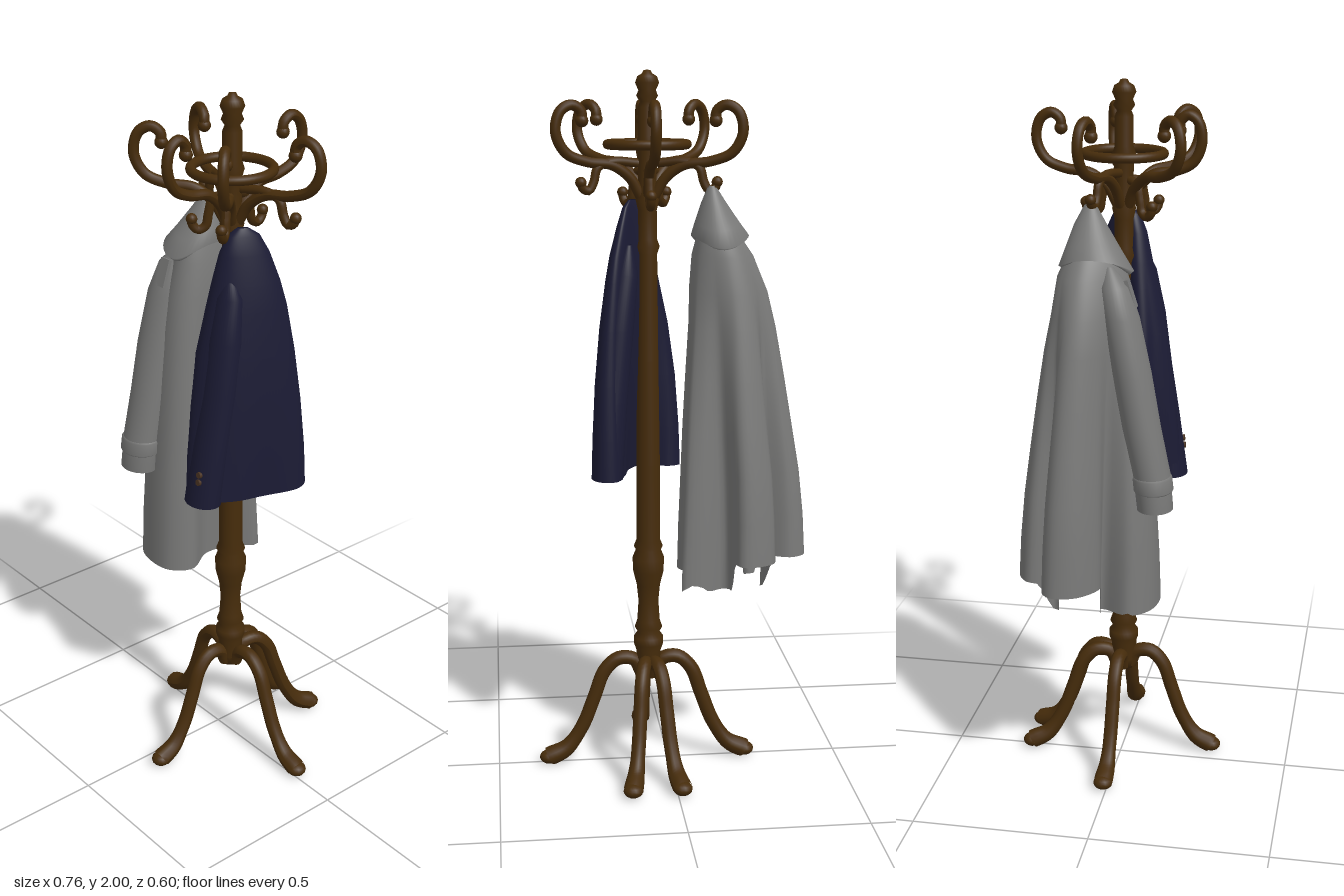
import * as THREE from 'three';

const mat = (name, color, open) => {
  const m = new THREE.MeshStandardMaterial({ color });
  m.name = name;
  if (open) m.side = THREE.DoubleSide;
  return m;
};
const V = (x, y, z) => new THREE.Vector3(x, y, z);
const POLE_X = 0.057;

function add(parent, name, geometry, material) {
  const mesh = new THREE.Mesh(geometry, material);
  mesh.name = name;
  parent.add(mesh);
  return mesh;
}

// Round rod along a curve, radius given by a rule, kept above the floor
function rod(points, radius, segments = 40, sides = 12) {
  const curve = new THREE.CatmullRomCurve3(points);
  const g = new THREE.TubeGeometry(curve, segments, 1, sides);
  const p = g.attributes.position;
  for (let i = 0; i < p.count; i++) {
    const t = Math.floor(i / (sides + 1)) / segments;
    const c = curve.getPointAt(t);
    const v = V(0, 0, 0).fromBufferAttribute(p, i).sub(c).multiplyScalar(radius(t)).add(c);
    p.setXYZ(i, v.x, Math.max(0, v.y), v.z);
  }
  g.computeVertexNormals();
  return g;
}

// Surface through closed rings, listed from top to bottom
function loft(rings) {
  const n = rings[0].length, pos = [], idx = [];
  rings.forEach((ring) => ring.forEach((p) => pos.push(p.x, p.y, p.z)));
  for (let k = 0; k < rings.length - 1; k++) {
    for (let j = 0; j < n; j++) {
      const a = k * n + j, b = k * n + (j + 1) % n;
      idx.push(a, a + n, b, b, a + n, b + n);
    }
  }
  const g = new THREE.BufferGeometry();
  g.setAttribute('position', new THREE.Float32BufferAttribute(pos, 3));
  g.setIndex(idx);
  g.computeVertexNormals();
  return g;
}

// Oval tube from rows of [x, y, z, rx, rz]; dip makes pointed drops round the rim
function sleeve(rows, dip = () => 0, n = 32) {
  return loft(rows.map(([x, y, z, rx, rz], k) => Array.from({ length: n }, (_, j) => {
    const a = j / n * Math.PI * 2;
    return V(x + rx * Math.cos(a), y + dip(a) * k / (rows.length - 1), z - rz * Math.sin(a));
  })));
}

// Hanging cloth: a smooth oval at the shoulders that turns into the folded hem below.
// Rows of [y, cx, cz, rx, rz, fold]
function drape(hem, rows, lift, n = 96) {
  const curve = new THREE.CatmullRomCurve3(hem.map(([x, z]) => V(x, 0, z)), true);
  const folded = curve.getSpacedPoints(n).slice(0, n);
  let oval = folded.map((p) => p.clone());
  for (let k = 0; k < 200; k++) {
    oval = oval.map((p, j) => p.clone().multiplyScalar(0.5)
      .addScaledVector(oval[(j + 1) % n], 0.25).addScaledVector(oval[(j + n - 1) % n], 0.25));
  }
  const box = new THREE.Box3().setFromPoints(oval);
  const c = box.getCenter(V(0, 0, 0)), s = box.getSize(V(0, 0, 0));
  return loft(rows.map(([y, cx, cz, rx, rz, f]) => oval.map((p, j) => {
    const q = V(cx + (p.x - c.x) / s.x * 2 * rx, y, cz + (p.z - c.z) / s.z * 2 * rz);
    q.lerp(V(folded[j].x, y, folded[j].z), f);
    q.y += f * f * lift(folded[j]);
    return q;
  })));
}

export function createModel() {
  const model = new THREE.Group();
  const wood = mat('dark wood', 0x462c0b);
  const grey = mat('grey cloth', 0x7a7a79, true);
  const navy = mat('navy cloth', 0x1b1b34, true);
  const button = mat('brown button', 0x4a3423);

  // Turned pole with finial
  const stand = new THREE.Group();
  stand.name = 'stand';
  stand.position.x = POLE_X;
  model.add(stand);
  const profile = [[0, .26], [.03, .26], [.036, .29], [.036, .34], [.043, .36], [.043, .38], [.032, .395], [.04, .41],
    [.033, .43], [.029, .49], [.034, .54], [.044, .58], [.046, .62], [.036, .645], [.042, .655], [.034, .675],
    [.034, .9], [.03, 1.2], [.027, 1.5], [.034, 1.52], [.027, 1.54], [.026, 1.62], [.033, 1.65], [.025, 1.68],
    [.027, 1.78], [.033, 1.8], [.026, 1.82], [.026, 1.9], [.02, 1.915], [.03, 1.93], [.024, 1.945], [.033, 1.965],
    [.027, 1.982], [.014, 1.99], [.01, 1.998], [0, 2]];
  add(stand, 'pole', new THREE.LatheGeometry(profile.map(([r, y]) => new THREE.Vector2(r, y)), 28), wood);

  // Ring that braces the arms
  const ring = add(stand, 'braceRing', new THREE.TorusGeometry(0.109, 0.0135, 12, 56), wood);
  ring.rotation.x = Math.PI / 2;
  ring.position.y = 1.8;

  // Turns [radius, height] points out along a direction in degrees (0 = +x, 90 = front)
  const radial = (pts, deg, s) => pts.map(([r, y]) => {
    const a = deg * Math.PI / 180;
    return V(Math.cos(a) * r * s, y, Math.sin(a) * r * s);
  });
  const ball = (name, p, r, flat = 1) => {
    const b = add(stand, name, new THREE.SphereGeometry(r, 14, 10), wood);
    b.position.copy(p);
    b.scale.y = flat;
  };

  // Five curved legs with flared feet
  const legPath = [[.02, .27], [.04, .31], [.085, .316], [.125, .28], [.155, .2], [.19, .11], [.235, .045], [.285, .02]];
  [[-2, 1.04], [90, .95], [182, 1.0], [255.5, .98], [284.5, .98]].forEach(([deg, s]) => {
    const pts = radial(legPath, deg, s);
    add(stand, 'leg', rod(pts, (t) => 0.0205 + 0.0075 * THREE.MathUtils.smoothstep(t, .75, 1)), wood);
    ball('foot', pts[pts.length - 1], 0.028, 0.7);
  });

  // Six scrolled arms
  const armPath = [[.02, 1.66], [.05, 1.71], [.1, 1.745], [.17, 1.755], [.23, 1.78], [.258, 1.835],
    [.245, 1.89], [.213, 1.907], [.187, 1.89], [.185, 1.865]];
  [[-90, .95], [-17, 1.03], [45, 1], [90, .83], [135, 1], [197, 1.03]].forEach(([deg, s]) => {
    const pts = radial(armPath, deg, s);
    add(stand, 'arm', rod(pts, () => 0.0145, 56), wood);
    ball('armTip', pts[pts.length - 1], 0.018);
  });

  // Small hooks below the arms
  const outerHook = [[.03, 1.75], [.1, 1.755], [.145, 1.74], [.158, 1.7], [.172, 1.678], [.19, 1.685], [.195, 1.7]];
  const innerHook = [[.02, 1.73], [.05, 1.72], [.062, 1.68], [.07, 1.645], [.09, 1.635], [.105, 1.65], [.107, 1.665]];
  [[outerHook, -17], [outerHook, 197], [innerHook, 55], [innerHook, 125], [innerHook, -90]].forEach(([path, deg]) => {
    const pts = radial(path, deg, 1);
    add(stand, 'hook', rod(pts, () => 0.0125, 32, 10), wood);
    ball('hookTip', pts[pts.length - 1], 0.0155);
  });

  // Long grey coat
  const coat = new THREE.Group();
  coat.name = 'longCoat';
  model.add(coat);
  const coatHem = [[-.02, -.175], [-.08, -.18], [-.15, -.145], [-.18, -.245], [-.23, -.245], [-.28, -.205], [-.25, -.125],
    [-.33, -.16], [-.375, -.13], [-.365, -.06], [-.29, -.005], [-.22, -.015], [-.255, .07], [-.2, .125], [-.08, .13],
    [-.035, .07], [-.08, -.02], [-.065, -.1]];
  const coatRows = [[1.69, -.115, -.06, .008, .008, 0], [1.66, -.115, -.06, .02, .025, 0], [1.6, -.122, -.055, .04, .05, 0],
    [1.55, -.135, -.05, .06, .072, 0], [1.5, -.145, -.05, .083, .093, 0], [1.4, -.158, -.045, .104, .106, .06],
    [1.3, -.162, -.045, .108, .112, .2], [1.15, -.163, -.045, .112, .116, .4], [1, -.165, -.045, .118, .122, .58],
    [.85, -.175, -.045, .128, .132, .75], [.7, -.18, -.045, .14, .14, .9], [.565, -.18, -.045, .14, .14, 1]];
  const outer = (p) => 0.09 * Math.max(THREE.MathUtils.smoothstep(-p.x, .25, .28), THREE.MathUtils.smoothstep(-p.z, .17, .21));
  add(coat, 'coatBody', drape(coatHem, coatRows, outer), grey);
  add(coat, 'coatSleeve', sleeve([[-.165, 1.53, 0, .01, .01], [-.175, 1.48, .015, .045, .04], [-.183, 1.4, .035, .058, .05],
    [-.19, 1.25, .066, .062, .053], [-.193, 1.1, .093, .062, .053], [-.197, .97, .122, .058, .052],
    [-.2, .87, .133, .06, .05], [-.2, .875, .133, .05, .04]]), grey);
  add(coat, 'cuffStrap', sleeve([[-.197, .965, .123, .057, .051], [-.198, .96, .124, .063, .055],
    [-.199, .925, .128, .064, .055], [-.199, .92, .129, .058, .05]]), grey);
  // Turned-down collar with a drooping point at the front
  const droop = (a) => 0.02 * Math.cos(2 * a) - 0.018 * Math.max(0, Math.cos(a - 5.1)) ** 4;
  add(coat, 'coatCollar', sleeve([[-.115, 1.685, -.06, .013, .016], [-.12, 1.64, -.058, .034, .045],
    [-.131, 1.58, -.048, .062, .078], [-.14, 1.54, -.04, .08, .102], [-.14, 1.538, -.04, .07, .09]], droop), grey);
  const strap = add(coat, 'shoulderStrap', new THREE.BoxGeometry(.035, .08, .01), grey);
  strap.position.set(-.167, 1.46, .059);
  strap.rotation.x = -.3;

  // Short navy jacket
  const jacket = new THREE.Group();
  jacket.name = 'jacket';
  model.add(jacket);
  const jacketHem = [[.16, -.155], [.2, -.155], [.225, -.11], [.195, 0], [.17, .08], [.12, .145], [.06, .165], [.035, .13],
    [.02, .085], [-.025, .08], [-.04, .045], [-.01, .025], [.07, .045], [.11, 0], [.13, -.08]].reverse();
  const jacketRows = [[1.65, .1, 0, .01, .012, 0], [1.63, .1, 0, .028, .04, 0], [1.58, .1, -.002, .045, .062, 0],
    [1.5, .102, -.005, .065, .082, 0], [1.43, .102, -.005, .076, .095, .05], [1.3, .098, 0, .095, .112, .2],
    [1.15, .095, 0, .11, .122, .45], [1, .093, 0, .12, .135, .75], [.885, .09, 0, .13, .15, 1]];
  add(jacket, 'jacketBody', drape(jacketHem, jacketRows, () => 0), navy);
  add(jacket, 'frontSleeve', sleeve([[.105, 1.53, .045, .01, .01], [.108, 1.47, .05, .04, .034], [.108, 1.35, .066, .052, .044],
    [.105, 1.2, .085, .056, .045], [.1, 1.05, .11, .057, .045], [.095, .875, .135, .058, .046],
    [.095, .88, .135, .049, .037]]), navy);
  add(jacket, 'backSleeve', sleeve([[.115, 1.53, -.055, .01, .01], [.125, 1.45, -.06, .036, .036], [.145, 1.3, -.075, .042, .042],
    [.165, 1.1, -.092, .042, .045], [.18, .885, -.108, .042, .048], [.18, .89, -.108, .034, .04]]), navy);

  // Cuff buttons
  for (let i = 0; i < 2; i++) {
    const b = add(jacket, 'cuffButton', new THREE.CylinderGeometry(.009, .009, .008, 14), button);
    b.rotation.x = Math.PI / 2 - .14;
    b.position.set(.117, .953 + i * .022, .168 - i * .003);
  }
  return model;
}
